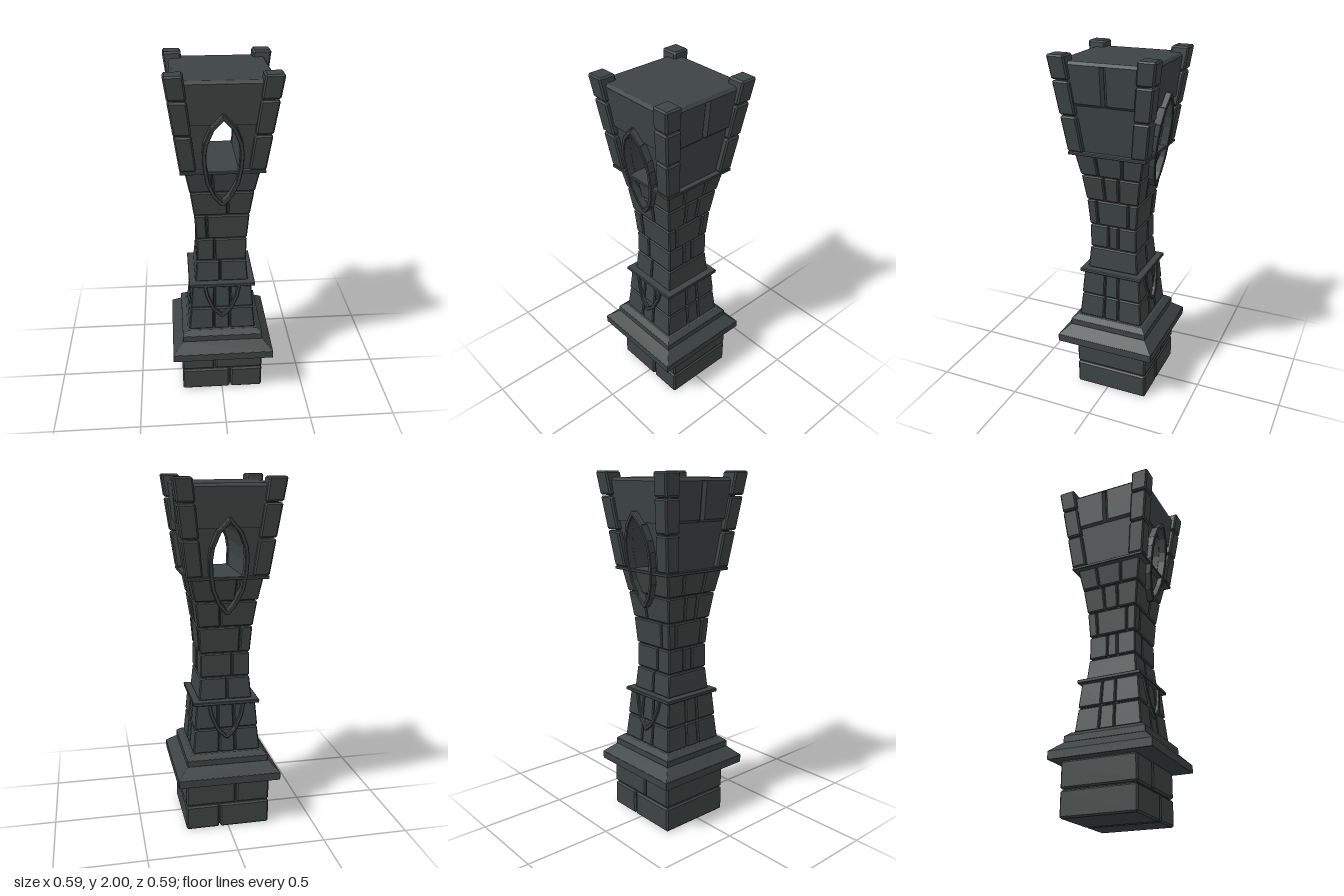
import * as THREE from 'three';
import { ConvexGeometry } from 'three/addons/geometries/ConvexGeometry.js';

const stone = new THREE.MeshStandardMaterial({ color: 0x3d4443 });
stone.name = 'darkStone';

const lerp = (a, b, t) => a + (b - a) * t;

// Chamfered block between ranges, with every corner passed through a placing rule
function block(name, [x0, x1], [y0, y1], [z0, z1], bevel = 0.006, place = (x, y, z) => [x, y, z]) {
  const pts = [];
  for (const sx of [0, 1]) for (const sy of [0, 1]) for (const sz of [0, 1]) {
    for (let full = 0; full < 3; full++) {
      const b = [bevel, bevel, bevel];
      b[full] = 0;
      pts.push(new THREE.Vector3(...place(
        sx ? x1 - b[0] : x0 + b[0],
        sy ? y1 - b[1] : y0 + b[1],
        sz ? z1 - b[2] : z0 + b[2])));
    }
  }
  const mesh = new THREE.Mesh(new ConvexGeometry(pts), stone);
  mesh.name = name;
  return mesh;
}

// Square tapered block from half width a (bottom) to b (top)
function taper(name, a, b, y0, y1, bevel = 0.003) {
  return block(name, [-a, a], [y0, y1], [-a, a], bevel, (x, y, z) => {
    const s = lerp(1, b / a, (y - y0) / (y1 - y0));
    return [x * s, y, z * s];
  });
}

// One course of masonry, cut by vertical joints along x and z
function course({ y, a, b, jx, jz }) {
  const g = new THREE.Group();
  g.name = 'shaftCourse';
  const gap = 0.003;
  const xs = [-a - gap, ...jx, a + gap], zs = [-a - gap, ...jz, a + gap];
  const place = (px, py, pz) => {
    const s = lerp(1, b / a, (py - y[0]) / (y[1] - y[0]));
    return [px * s, py, pz * s];
  };
  for (let i = 0; i < xs.length - 1; i++) for (let k = 0; k < zs.length - 1; k++) {
    g.add(block('shaftStone', [xs[i] + gap, xs[i + 1] - gap], y,
      [zs[k] + gap, zs[k + 1] - gap], 0.006, place));
  }
  g.add(taper('shaftCore', a - 0.016, b - 0.016, y[0] - 0.004, y[1] + 0.004));
  return g;
}

// Frame of short stones along a path of [x, y] points, on the sloped face zAt(y)
function stoneFrame(name, pts, zAt, width, depth) {
  const g = new THREE.Group();
  g.name = name;
  const v = pts.map(([x, y]) => new THREE.Vector3(x, y, zAt(y)));
  const slope = zAt(1) - zAt(0);
  const n = new THREE.Vector3(0, -slope, 1).normalize();
  for (let i = 0; i < v.length - 1; i++) {
    const u = v[i + 1].clone().sub(v[i]);
    const len = u.length();
    u.normalize();
    const w = new THREE.Vector3().crossVectors(u, n);
    g.add(block('frameStone', [-width / 2, width / 2], [-0.004, len + 0.004], [-depth, 0], 0.004,
      (x, y, z) => v[i].clone().addScaledVector(w, x).addScaledVector(u, y).addScaledVector(n, z).toArray()));
  }
  return g;
}

// Extrusion along z whose depth follows the slope of the walls
function slopedWall(name, outline, y0, y1, a, b) {
  const geo = new THREE.ExtrudeGeometry(
    new THREE.Shape(outline.map(([x, y]) => new THREE.Vector2(x, y))),
    { depth: 2, bevelEnabled: false });
  const p = geo.attributes.position;
  for (let i = 0; i < p.count; i++) {
    p.setZ(i, (p.getZ(i) - 1) * lerp(a, b, (p.getY(i) - y0) / (y1 - y0)));
  }
  geo.computeVertexNormals();
  const mesh = new THREE.Mesh(geo, stone);
  mesh.name = name;
  return mesh;
}

const mirrored = pts => [...pts, ...pts.slice(0, -1).reverse().map(([x, y]) => [-x, y])];

export function createModel() {
  const model = new THREE.Group();
  model.name = 'stonePillar';

  // Foundation: two courses of two large stones
  for (const [y0, y1, joint] of [[0.003, 0.147, 0.05], [0.153, 0.3, -0.045]]) {
    model.add(block('foundationStone', [-0.242, joint - 0.004], [y0, y1], [-0.243, 0.193], 0.009));
    model.add(block('foundationStone', [joint + 0.004, 0.245], [y0, y1], [-0.243, 0.193], 0.009));
  }
  model.add(block('foundationCore', [-0.225, 0.228], [0.015, 0.3], [-0.226, 0.176], 0.003));

  // Stepped plinth
  model.add(taper('plinthSlab', 0.295, 0.295, 0.3, 0.345, 0.001));
  model.add(taper('plinthSlope', 0.295, 0.235, 0.345, 0.4, 0.001));
  model.add(taper('plinthStep', 0.235, 0.235, 0.4, 0.435, 0.001));
  model.add(taper('plinthCap', 0.235, 0.205, 0.435, 0.46, 0.001));

  // Waisted shaft
  const courses = [
    { y: [0.46, 0.597], a: 0.195, b: 0.181, jx: [-0.05, 0.045], jz: [-0.05, 0.04] },
    { y: [0.603, 0.745], a: 0.183, b: 0.17, jx: [-0.045, 0.05], jz: [-0.045, 0.04] },
    { y: [0.765, 0.893], a: 0.153, b: 0.141, jx: [-0.01], jz: [] },
    { y: [0.899, 1.034], a: 0.141, b: 0.14, jx: [-0.04], jz: [-0.03, 0.03] },
    { y: [1.04, 1.187], a: 0.142, b: 0.153, jx: [-0.08], jz: [-0.09, 0.09] },
    { y: [1.193, 1.335], a: 0.154, b: 0.174, jx: [0.03], jz: [-0.04, 0.04] },
    { y: [1.341, 1.466], a: 0.176, b: 0.2, jx: [-0.05], jz: [-0.07, 0.07] },
  ];
  courses.forEach(c => model.add(course(c)));

  // Thin ledges
  model.add(taper('lowerLedge', 0.19, 0.19, 0.745, 0.765));
  model.add(taper('upperLedge', 0.226, 0.226, 1.464, 1.481));

  // Head walls with a pointed passage running front to back
  model.add(slopedWall('headLowerWall', [
    [-0.195, 1.48], [-0.083, 1.48], [-0.091, 1.56], [-0.085, 1.63], [-0.062, 1.70], [-0.038, 1.74],
    [-0.23, 1.74]], 1.48, 1.74, 0.195, 0.23));
  model.add(slopedWall('headLowerWall', [
    [0.195, 1.48], [0.23, 1.74], [0.038, 1.74], [0.062, 1.70], [0.085, 1.63], [0.091, 1.56],
    [0.083, 1.48]], 1.48, 1.74, 0.195, 0.23));
  model.add(slopedWall('headUpperWall', [
    [-0.222, 1.738], [-0.038, 1.738], [0, 1.778], [0.038, 1.738], [0.222, 1.738],
    [0.242, 1.95], [-0.242, 1.95]], 1.738, 1.95, 0.242, 0.264));
  model.add(taper('roof', 0.264, 0.25, 1.95, 1.967, 0.001));

  // Paired stones on the upper sides
  for (const s of [-1, 1]) for (const [z0, z1] of [[-0.235, -0.001], [0.001, 0.235]]) {
    model.add(block('sideStone', [0.18, 0.264], [1.735, 1.966], [z0, z1], 0.016,
      (x, y, z) => [s * (x - (1.966 - y) * 0.09), y, z]));
  }

  // Leaning corner posts of three stones each
  const outer = y => lerp(0.226, 0.297, (y - 1.48) / 0.52);
  const inner = y => lerp(0.138, 0.197, (y - 1.48) / 0.52);
  for (const sx of [-1, 1]) for (const sz of [-1, 1]) {
    const post = new THREE.Group();
    post.name = 'cornerPost';
    for (const y of [[1.481, 1.679], [1.685, 1.867], [1.873, 2.0]]) {
      post.add(block('postStone', [0, 0.1], y, [0, 0.1], 0.009, (x, py, z) => [
        sx * lerp(inner(py), outer(py), x / 0.1), py,
        sz * lerp(inner(py), outer(py), z / 0.1)]));
    }
    model.add(post);
  }

  // Pointed window frames and hanging swag frames, front and back
  const windowHalf = [[0.0, 1.275], [0.045, 1.33], [0.08, 1.41], [0.095, 1.5],
    [0.098, 1.58], [0.09, 1.64], [0.058, 1.72], [0, 1.785]];
  const swag = mirrored([[0.1, 0.755], [0.085, 0.68], [0.05, 0.6], [0, 0.553]]);
  for (const turn of [0, Math.PI]) {
    const side = new THREE.Group();
    side.name = turn ? 'backFrames' : 'frontFrames';
    side.add(stoneFrame('windowFrame', mirrored(windowHalf),
      y => lerp(0.203, 0.28, (y - 1.27) / 0.52), 0.022, 0.05));
    side.add(stoneFrame('swagFrame', swag, y => lerp(0.204, 0.182, (y - 0.55) / 0.2), 0.02, 0.03));
    side.rotation.y = turn;
    model.add(side);
  }
  return model;
}
